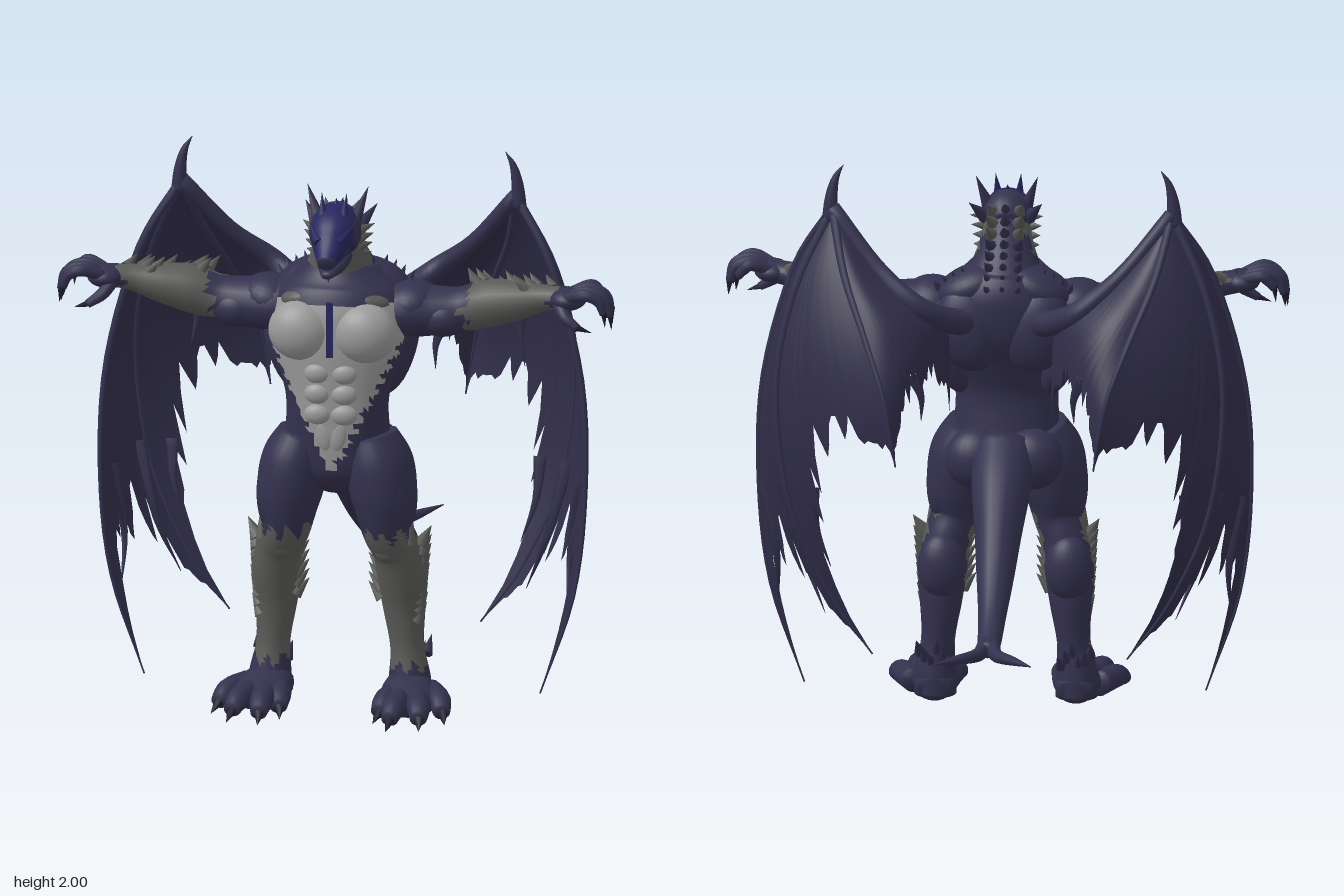
import * as THREE from 'three';

const mat = (name, color, side = THREE.FrontSide) =>
  Object.assign(new THREE.MeshStandardMaterial({ color, side }), { name });
const hide = mat('navy hide', 0x34314e);
const fur = mat('grey fur', 0x5a5a57);
const belly = mat('pale belly', 0x9b9b9b);
const crest = mat('blue crest', 0x26265f);
const claw = mat('dark claw', 0x1f1d2a);
const web = mat('wing membrane', 0x302d48, THREE.DoubleSide);
const Z = new THREE.Vector3(0, 0, 1), X = new THREE.Vector3(1, 0, 0);
const V = (p) => new THREE.Vector3(p[0], p[1], p[2]);
const noise = (i) => { const v = Math.sin(i * 127.1 + 3.7) * 43758.5453; return v - Math.floor(v); };

function add(parent, name, geo, material) {
  const m = new THREE.Mesh(geo, material);
  m.name = name;
  parent.add(m);
  return m;
}

// Smooth tube through [x, y, z, radiusA, radiusB] stations; pick() chooses the colour of each face
function loft(parent, name, mats, pts, { ref = Z, n = 20, steps = 5, pick = () => 0 } = {}) {
  const path = new THREE.CatmullRomCurve3(pts.map(V), false, 'catmullrom');
  const size = new THREE.CatmullRomCurve3(pts.map((p) => new THREE.Vector3(p[3], p[4] ?? p[3], 0)), false, 'catmullrom');
  const rings = (pts.length - 1) * steps, pos = [], list = [].concat(mats), buckets = list.map(() => []);
  for (let i = 0; i <= rings; i++) {
    const c = path.getPoint(i / rings), r = size.getPoint(i / rings), T = path.getTangent(i / rings);
    const S = new THREE.Vector3().crossVectors(ref, T).normalize();
    const U = new THREE.Vector3().crossVectors(T, S);
    for (let j = 0; j < n; j++) {
      const a = (j / n) * Math.PI * 2;
      pos.push(...c.clone().addScaledVector(S, r.x * Math.cos(a)).addScaledVector(U, r.y * Math.sin(a)));
    }
  }
  pos.push(...pts[0].slice(0, 3), ...pts[pts.length - 1].slice(0, 3));
  const start = (rings + 1) * n;
  const face = (...t) => {
    const c = [0, 1, 2].map((k) => (pos[t[0] * 3 + k] + pos[t[1] * 3 + k] + pos[t[2] * 3 + k]) / 3);
    buckets[pick(...c)].push(...t);
  };
  for (let j = 0; j < n; j++) {
    const k = (j + 1) % n;
    face(start, k, j);
    face(start + 1, rings * n + j, rings * n + k);
    for (let i = 0; i < rings; i++) {
      const a = i * n + j, b = i * n + k;
      face(a, b, a + n);
      face(b, b + n, a + n);
    }
  }
  const g = new THREE.BufferGeometry();
  g.setAttribute('position', new THREE.Float32BufferAttribute(pos, 3));
  g.setIndex(buckets.flat());
  let at = 0;
  buckets.forEach((b, i) => { g.addGroup(at, b.length, i); at += b.length; });
  g.computeVertexNormals();
  return add(parent, name, g, list.length > 1 ? list : list[0]);
}

function ball(parent, name, m, p, r, tilt = 0) {
  const b = add(parent, name, new THREE.SphereGeometry(1, 24, 16), m);
  b.position.set(...p);
  b.scale.set(...r);
  b.rotation.z = tilt;
}

function spike(parent, name, m, from, to, r) {
  const a = V(from), d = V(to).sub(a);
  const s = add(parent, name, new THREE.ConeGeometry(r, d.length(), 7), m);
  s.position.copy(a).addScaledVector(d, 0.5);
  s.quaternion.setFromUnitVectors(new THREE.Vector3(0, 1, 0), d.normalize());
}

// Ragged skin stretched between two finger paths, scalloped along its free edge
function panel(parent, A, B, depth, seed, bulge) {
  const cols = 28, rows = 20, pos = [], idx = [];
  for (let i = 0; i <= cols; i++) {
    const t = i / cols, arch = Math.sin(Math.PI * t);
    const len = 1 - depth * Math.pow(arch, 0.6) + (noise(i + seed) - 0.5) * 0.12 * Math.min(1, arch * 2);
    for (let j = 0; j <= rows; j++) {
      const s = len * j / rows, p = A.getPoint(s).lerp(B.getPoint(s), t);
      p.z -= bulge * arch * Math.sin(Math.PI * s);
      pos.push(...p);
      if (i < cols && j < rows) {
        const a = i * (rows + 1) + j, b = a + rows + 1;
        idx.push(a, b, a + 1, b, b + 1, a + 1);
      }
    }
  }
  const g = new THREE.BufferGeometry();
  g.setAttribute('position', new THREE.Float32BufferAttribute(pos, 3));
  g.setIndex(idx);
  g.computeVertexNormals();
  add(parent, 'wingMembrane', g, web);
}

function buildWing(root, s) {
  const wing = new THREE.Group();
  wing.name = s > 0 ? 'leftWing' : 'rightWing';
  root.add(wing);
  const m = (list) => list.map(([x, y, z]) => [x * s, y, z]);
  const paths = [
    [[.6, 1.84, .19], [.74, 1.6, .25], [.85, 1.2, .28], [.87, .8, .31], [.83, .42, .32], [.71, .06, .32]],
    [[.6, 1.84, .19], [.73, 1.55, .12], [.79, 1.2, .07], [.74, .78, .06], [.6, .45, .08], [.45, .24, .07]],
    [[.6, 1.84, .19], [.55, 1.64, .05], [.47, 1.45, -.08], [.4, 1.27, -.17], [.37, 1.13, -.19], [.35, 1.0, -.18]],
    [[.6, 1.84, .19], [.44, 1.65, .12], [.3, 1.53, .06], [.2, 1.46, .12], [.18, 1.3, .13], [.18, 1.12, .1]],
  ].map(m);
  const curves = paths.map((p) => new THREE.CatmullRomCurve3(p.map(V), false, 'catmullrom'));
  panel(wing, curves[0], curves[1], .32, 1, .02);
  panel(wing, curves[1], curves[2], .46, 40, .03);
  panel(wing, curves[2], curves[3], .3, 90, .05);
  paths.slice(0, 3).forEach((p) =>
    loft(wing, 'wingFinger', hide, p.map((q, i) => [...q, .017 - .0028 * i]), { n: 8, ref: X }));
  loft(wing, 'wingArm', hide, [[.1 * s, 1.42, .22, .05], [.2 * s, 1.46, .12, .045], [.3 * s, 1.53, .06, .038],
    [.44 * s, 1.65, .12, .028], [.6 * s, 1.84, .19, .028]], { n: 12 });
  loft(wing, 'wingClaw', hide, [[.61 * s, 1.8, .19, .028], [.605 * s, 1.88, .19, .022], [.59 * s, 1.95, .19, .013],
    [.562 * s, 2, .19, .001]], { n: 10 });
  // Tattered strips hanging off the trailing edges
  [[[.77, .85, .1], [.7, .58, .14], [.62, .38, .1]], [[.66, .85, .05], [.65, .7, .08], [.6, .55, .1]],
    [[.84, .8, .24], [.8, .55, .22], [.8, .36, .28]], [[.6, 1.4, 0], [.58, 1.3, 0], [.6, 1.17, .02]],
    [[.3, 1.3, -.05], [.27, 1.22, -.04], [.27, 1.13, -.03]]].forEach((p) =>
    loft(wing, 'tatteredStrip', web, m(p).map((q, i) => [...q, .024 - .0115 * i, .004]), { n: 6 }));
}

function buildArm(root, s) {
  const arm = new THREE.Group();
  arm.name = s > 0 ? 'leftArm' : 'rightArm';
  root.add(arm);
  const jag = (y, z) => .025 * Math.sin(y * 90 + z * 70);
  loft(arm, 'arm', [hide, fur], [[.14, 1.44, .34, .1, .11], [.24, 1.45, .34, .1, .12], [.34, 1.45, .34, .088, .1],
    [.44, 1.46, .34, .08, .085], [.54, 1.49, .35, .085, .09], [.64, 1.51, .37, .07, .075], [.74, 1.53, .39, .047, .052],
    [.82, 1.54, .41, .04, .05]].map(([x, ...r]) => [x * s, ...r]),
  { pick: (x, y, z) => (Math.abs(x) > .45 + jag(y, z) && Math.abs(x) < .77 + jag(y, z) ? 1 : 0) });
  ball(arm, 'deltoid', hide, [.25 * s, 1.47, .34], [.11, .085, .115], .2 * s);
  ball(arm, 'biceps', hide, [.37 * s, 1.435, .37], [.09, .07, .075]);
  ball(arm, 'palm', hide, [.83 * s, 1.54, .42], [.065, .04, .075]);
  // Forearm fur tufts swept outward along the back and top
  for (let i = 0; i < 18; i++) {
    const x = .46 + .018 * i, a = noise(i) * 2.4 - .2, r = .075 - .002 * i;
    const y = 1.49 + .002 * i + Math.sin(a) * r, z = .35 + .002 * i - Math.cos(a) * r;
    spike(arm, 'forearmTuft', fur, [x * s, y, z], [(x - .035) * s, y + .045 * Math.sin(a), z - .06 * Math.cos(a) - .01], .022);
  }
  // Four curled fingers and a thumb
  [[.355, .95, 1.52], [.4, .98, 1.49], [.45, .985, 1.48], [.495, .97, 1.5]].forEach(([z, x, y]) => {
    loft(arm, 'finger', hide, [[.83 * s, 1.55, .42 + (z - .42) * .6, .021], [.9 * s, 1.575, z, .022],
      [(x - .02) * s, 1.555, z, .019], [x * s, y + .01, z, .014]], { n: 10 });
    spike(arm, 'fingerClaw', claw, [x * s, y + .02, z], [(x + .005) * s, y - .04, z], .013);
  });
  loft(arm, 'thumb', hide, [[.8 * s, 1.53, .45, .024], [.83 * s, 1.49, .49, .022], [.88 * s, 1.455, .505, .015]], { n: 10 });
  spike(arm, 'thumbClaw', claw, [.875 * s, 1.458, .505], [.93 * s, 1.44, .5], .013);
}

function buildLeg(root, s) {
  const leg = new THREE.Group();
  leg.name = s > 0 ? 'leftLeg' : 'rightLeg';
  root.add(leg);
  loft(leg, 'leg', [hide, fur], [[.12, 1.0, .4, .09, .12], [.15, .9, .41, .12, .145], [.17, .78, .42, .115, .14],
    [.18, .67, .42, .09, .115], [.21, .58, .39, .085, .1], [.225, .48, .37, .09, .09], [.23, .36, .355, .075, .075],
    [.24, .22, .355, .06, .065], [.25, .1, .36, .075, .08], [.25, .02, .36, .075, .08]].map(([x, ...r]) => [x * s, ...r]),
  { steps: 7, n: 26, pick: (x, y, z) => (y < .66 + .03 * Math.sin(x * 110) && y > .16 + .02 * Math.sin(x * 120)
    && z > .345 + .012 * Math.sin(y * 80) ? 1 : 0) });
  ball(leg, 'outerThigh', hide, [.215 * s, .8, .42], [.07, .17, .12], .06 * s);
  ball(leg, 'buttock', hide, [.1 * s, .91, .27], [.11, .11, .09]);
  ball(leg, 'calf', hide, [.225 * s, .5, .315], [.085, .12, .07]);
  ball(leg, 'kneecap', fur, [.19 * s, .61, .47], [.05, .06, .04]);
  // Fur on the outside of the shin and tufts at the heel
  for (let i = 0; i < 9; i++) {
    const y = .64 - .035 * i, x = .29 - .002 * i;
    spike(leg, 'shinTuft', fur, [x * s, y - .04, .39], [(x + .04) * s, y + .03, .37 - .03 * noise(i)], .03);
    if (i < 5) spike(leg, 'innerTuft', fur, [.155 * s, y - .1, .39], [.105 * s, y - .04, .38], .025);
    if (i < 6) spike(leg, 'heelTuft', hide, [(.2 + .02 * i) * s, .14 + .02 * (i % 3), .31],
      [(.19 + .024 * i) * s, .19 + .025 * (i % 3), .25], .022);
  }
  spike(leg, 'kneeTuft', fur, [.25 * s, .62, .44], [.27 * s, .73, .43], .04);
  spike(leg, 'kneeTuft', fur, [.16 * s, .62, .46], [.15 * s, .7, .47], .035);
  loft(leg, 'foot', hide, [[.25, .05, .29, .045, .06], [.25, .07, .38, .07, .09], [.265, .06, .47, .055, .1],
    [.275, .045, .54, .04, .09]].map(([x, ...r]) => [x * s, ...r]), { ref: X });
  [[.4, .55], [.335, .65], [.235, .67], [.18, .58]].forEach(([x, z]) => {
    loft(leg, 'toe', hide, [[(.25 + (x - .25) * .5) * s, .06, z - .18, .045], [(x - (x - .25) * .15) * s, .06, z - .07, .042],
      [x * s, .035, z, .026, .03]], { ref: X, n: 14 });
    spike(leg, 'toeClaw', claw, [x * s, .035, z - .01], [(x + (x - .27) * .15) * s, .005, z + .055], .02);
  });
}

function buildHead(root) {
  const head = new THREE.Group();
  head.name = 'head';
  root.add(head);
  loft(head, 'skull', [hide, crest], [[0, 1.73, .35, .06, .06], [0, 1.75, .41, .1, .088], [0, 1.75, .48, .092, .09],
    [0, 1.725, .54, .07, .068], [0, 1.7, .59, .045, .048], [0, 1.68, .635, .026, .03]],
  { ref: X, pick: (x, y, z) => (z > .43 && y > 1.7 + .02 * Math.sin(z * 60) && Math.abs(x) < .075 ? 1 : 0) });
  loft(head, 'jaw', hide, [[0, 1.68, .42, .045, .065], [0, 1.65, .5, .035, .055], [0, 1.64, .56, .024, .04],
    [0, 1.632, .615, .012, .02]], { ref: X });
  spike(head, 'chinSpike', hide, [0, 1.64, .57], [0, 1.6, .59], .015);
  spike(head, 'centreCrest', crest, [0, 1.8, .46], [0, 1.87, .43], .03);
  for (const s of [1, -1]) {
    spike(head, 'horn', hide, [.065 * s, 1.79, .43], [.11 * s, 1.91, .4], .026);
    spike(head, 'browHorn', crest, [.035 * s, 1.79, .5], [.045 * s, 1.9, .47], .022);
    spike(head, 'ear', hide, [.075 * s, 1.76, .4], [.13 * s, 1.83, .33], .028);
    spike(head, 'browRidge', crest, [.035 * s, 1.745, .585], [.085 * s, 1.8, .5], .018);
    for (let i = 0; i < 4; i++)
      spike(head, 'cheekTuft', fur, [.07 * s, 1.75 - .03 * i, .44 - .015 * i], [(.13 - .004 * i) * s, 1.77 - .035 * i, .38], .024);
    ball(head, 'eye', claw, [.056 * s, 1.735, .55], [.008, .01, .014]);
  }
}

export function createModel() {
  const root = new THREE.Group();
  root.name = 'wingedBeast';

  // Torso with a pale V down the front
  loft(root, 'torso', [hide, belly], [[0, .82, .36, .09, .1], [0, .9, .38, .18, .145], [0, 1.0, .4, .185, .14],
    [0, 1.15, .41, .185, .14], [0, 1.3, .39, .235, .17], [0, 1.42, .36, .255, .195], [0, 1.52, .33, .22, .18],
    [0, 1.61, .32, .13, .13]], { n: 56, steps: 9, pick: (x, y, z) =>
    (z > .4 && y > .89 && y < 1.5 && Math.abs(x) < (y - .88) * .5 + .012 * Math.sin(y * 140) ? 1 : 0) });
  loft(root, 'neck', [hide, fur], [[0, 1.46, .31, .2, .16], [0, 1.57, .34, .14, .13], [0, 1.66, .375, .1, .1],
    [0, 1.76, .42, .075, .08]], { n: 32, pick: (x, y, z) =>
    (z > .34 + .02 * Math.sin(y * 90) && y > 1.48 && Math.abs(x) > .03 + .01 * Math.sin(y * 100) ? 1 : 0) });
  add(root, 'chestStripe', new THREE.BoxGeometry(.024, .2, .008), crest).position.set(0, 1.42, .562);
  for (const s of [1, -1]) {
    ball(root, 'pectoral', belly, [.115 * s, 1.4, .505], [.115, .108, .09], .1 * s);
    ball(root, 'collarFur', fur, [.11 * s, 1.51, .44], [.09, .04, .07], -.2 * s);
    ball(root, 'trapezius', hide, [.12 * s, 1.54, .29], [.13, .07, .11], -.4 * s);
    ball(root, 'shoulderBlade', hide, [.12 * s, 1.4, .23], [.12, .16, .08], -.2 * s);
    ball(root, 'latissimus', hide, [.2 * s, 1.3, .33], [.065, .17, .11], -.28 * s);
    for (let i = 0; i < 3; i++)
      ball(root, 'abdominal', belly, [.048 * s, 1.255 - .075 * i, .54], [.047, .037, .028]);
    ball(root, 'lowerAbdominal', belly, [.025 * s, 1.03, .525], [.035, .07, .022], -.15 * s);
    for (let i = 0; i < 4; i++)
      spike(root, 'shoulderTuft', hide, [(.13 + .03 * i) * s, 1.55 - .012 * i, .28], [(.15 + .032 * i) * s, 1.62 - .018 * i, .24], .025);
    buildArm(root, s);
    buildLeg(root, s);
    buildWing(root, s);
    loft(root, 'tailFork', hide, [[.01 * s, .425, -.42, .035, .03], [.035 * s, .415, -.52, .025, .022],
      [.1 * s, .425, -.62, .016, .018], [.17 * s, .435, -.72, .002, .002]], { ref: X, n: 12 });
  }
  buildHead(root);

  // Mane down the back of the neck
  for (let i = 0; i < 8; i++)
    for (const x of [-.04, 0, .04]) {
      const y = 1.8 - .037 * i, z = .375 - .022 * i;
      spike(root, 'mane', i < 3 && x ? fur : hide, [x, y - .02, z], [x * 1.6, y + .035, z - .075], .03);
    }

  // Tail
  loft(root, 'tail', hide, [[0, .95, .27, .1, .11], [0, .84, .14, .11, .105], [0, .72, .01, .1, .085],
    [0, .6, -.12, .075, .068], [0, .49, -.27, .055, .05], [0, .43, -.4, .04, .042], [0, .42, -.48, .028, .035]], { ref: X });
  return root;
}
